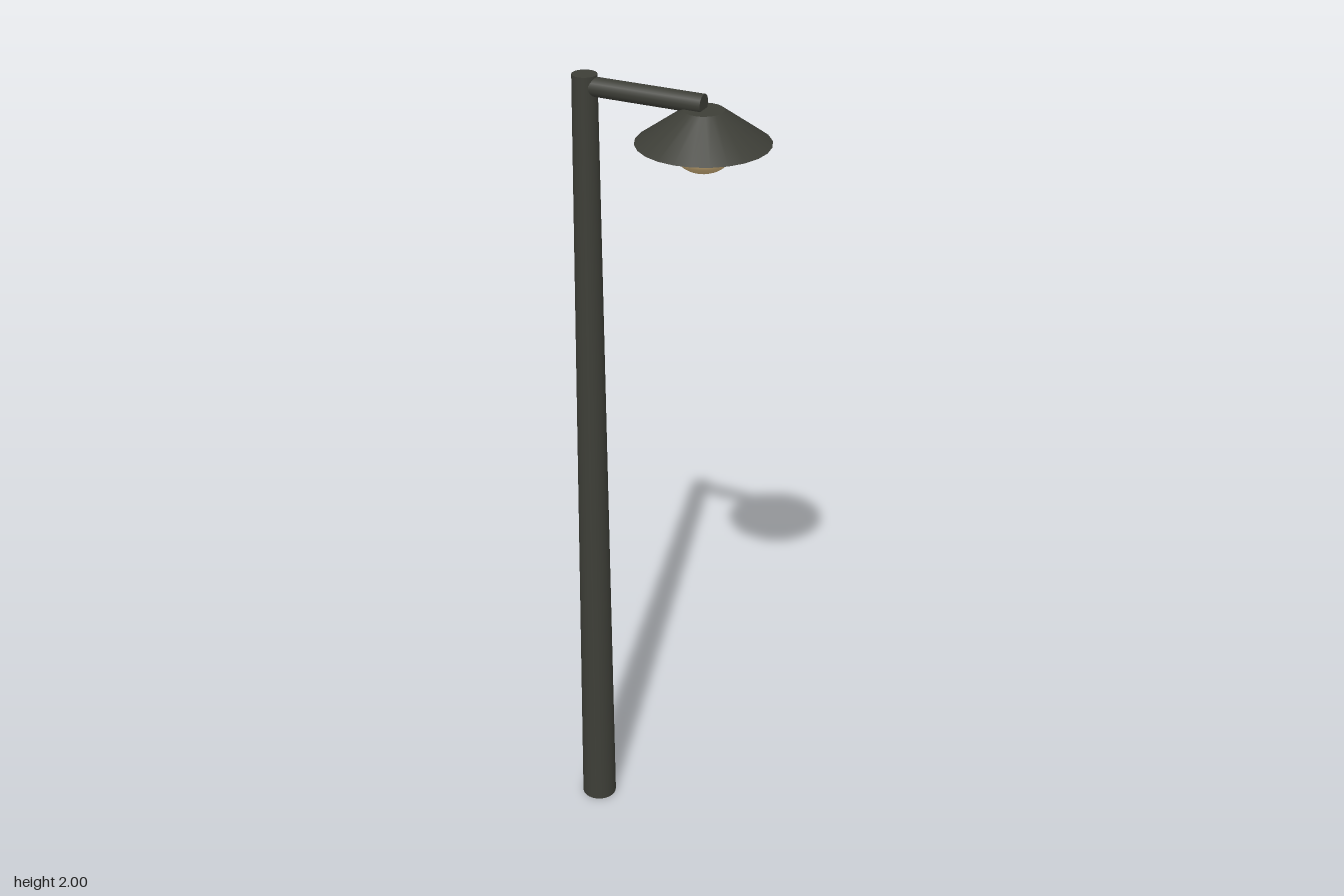
import * as THREE from 'three';

export function createModel() {
  const group = new THREE.Group();
  const metal = new THREE.MeshStandardMaterial({ color: 0x3d3e37 });
  metal.name = 'dark metal';
  const glow = new THREE.MeshStandardMaterial({ color: 0xd8b880 });
  glow.name = 'warm glass';

  const postX = -0.2, lampX = 0.09;
  const add = (name, geometry, material, x, y) => {
    const mesh = new THREE.Mesh(geometry, material);
    mesh.name = name;
    mesh.position.set(x, y, 0);
    group.add(mesh);
    return mesh;
  };

  // Tapered post
  add('post', new THREE.CylinderGeometry(0.029, 0.044, 2, 24), metal, postX, 1);

  // Horizontal arm from the post axis to the lamp axis
  const arm = new THREE.CylinderGeometry(0.022, 0.022, lampX - postX, 20);
  arm.rotateZ(Math.PI / 2);
  add('arm', arm, metal, (postX + lampX) / 2, 1.974);

  // Conical shade, closed underneath
  add('shade', new THREE.CylinderGeometry(0.046, 0.152, 0.075, 24), metal, lampX, 1.924);

  // Slightly flattened bulb below the shade
  const bulb = new THREE.SphereGeometry(0.069, 24, 16);
  bulb.scale(1, 0.8, 1);
  add('bulb', bulb, glow, lampX, 1.875);

  return group;
}
